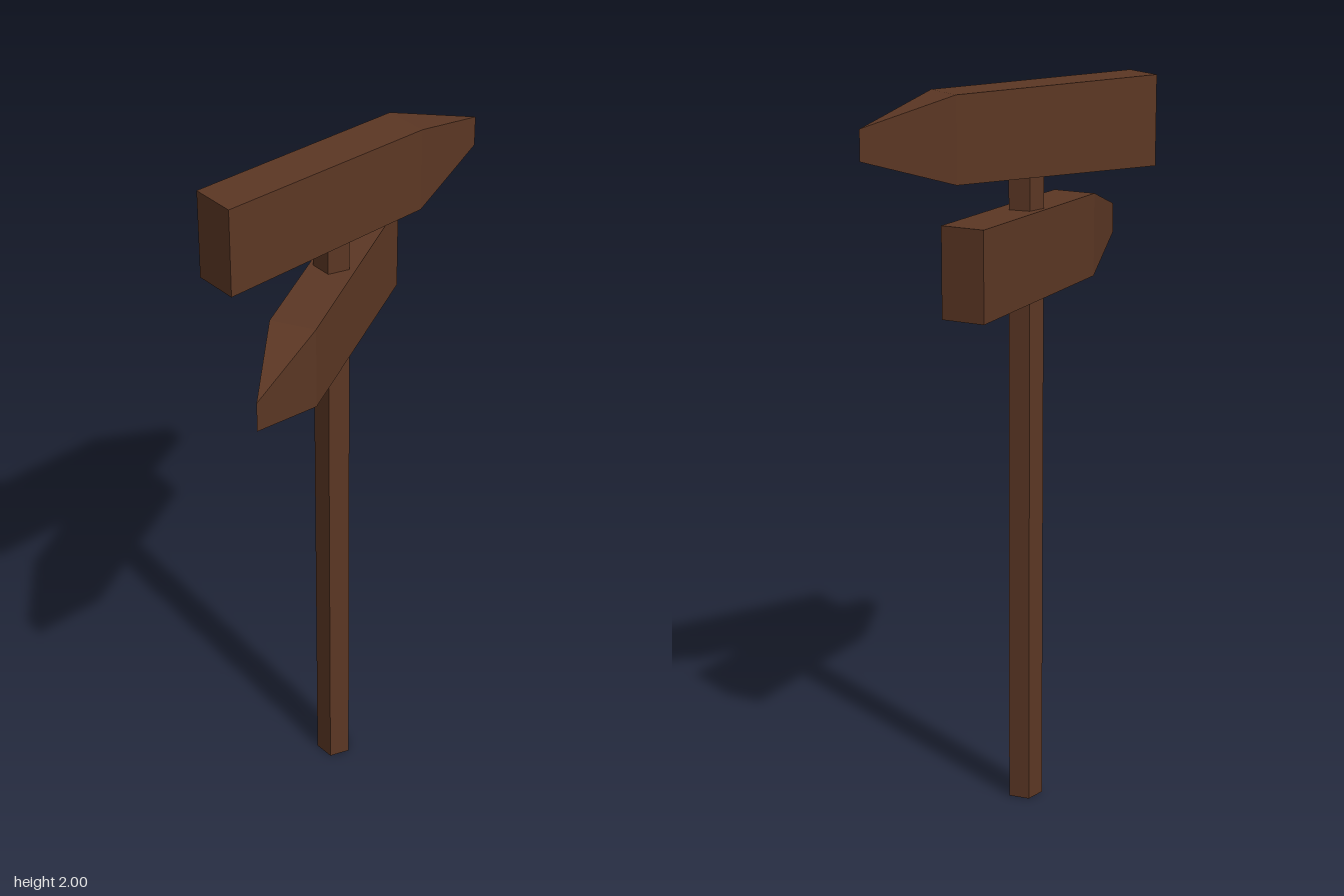
import * as THREE from 'three';
import { ConvexGeometry } from 'three/addons/geometries/ConvexGeometry.js';

const POST_X = -0.03;
const POST_Z = 0.0085;

// Arrow-shaped board: butt end at z = 0, pointing along -z, centred on x and y
function boardGeometry() {
  const halfWidth = 0.061;
  const points = [];
  // cross-sections: [z, half width, half height]
  const sections = [
    [0, halfWidth, 0.1215],
    [-0.622, halfWidth, 0.1145],
    [-0.867, 0, 0.041],
  ];
  for (const [z, w, h] of sections) {
    for (const sy of [-1, 1]) {
      if (w === 0) points.push(new THREE.Vector3(0, sy * h, z));
      else for (const sx of [-1, 1]) points.push(new THREE.Vector3(sx * w, sy * h, z));
    }
  }
  return new ConvexGeometry(points);
}

export function createModel() {
  const group = new THREE.Group();
  group.name = 'signpost';
  const wood = new THREE.MeshStandardMaterial({ color: 0x5c3724, flatShading: true });
  wood.name = 'dark wood';

  // Five-sided post with a flat face to the front
  const height = 1.88;
  const post = new THREE.Mesh(new THREE.CylinderGeometry(0.05, 0.05, height, 5), wood);
  post.name = 'post';
  post.rotation.y = Math.PI;
  post.position.set(POST_X, height / 2, POST_Z);
  group.add(post);

  // Two arrow boards pointing different ways
  const geometry = boardGeometry();
  const boards = [
    ['upperBoard', [POST_X, 1.8785, 0.385], 0],
    ['lowerBoard', [-0.185, 1.5535, -0.279], Math.PI + 0.506],
  ];
  for (const [name, position, turn] of boards) {
    const board = new THREE.Mesh(geometry, wood);
    board.name = name;
    board.position.set(...position);
    board.rotation.y = turn;
    group.add(board);
  }
  return group;
}
